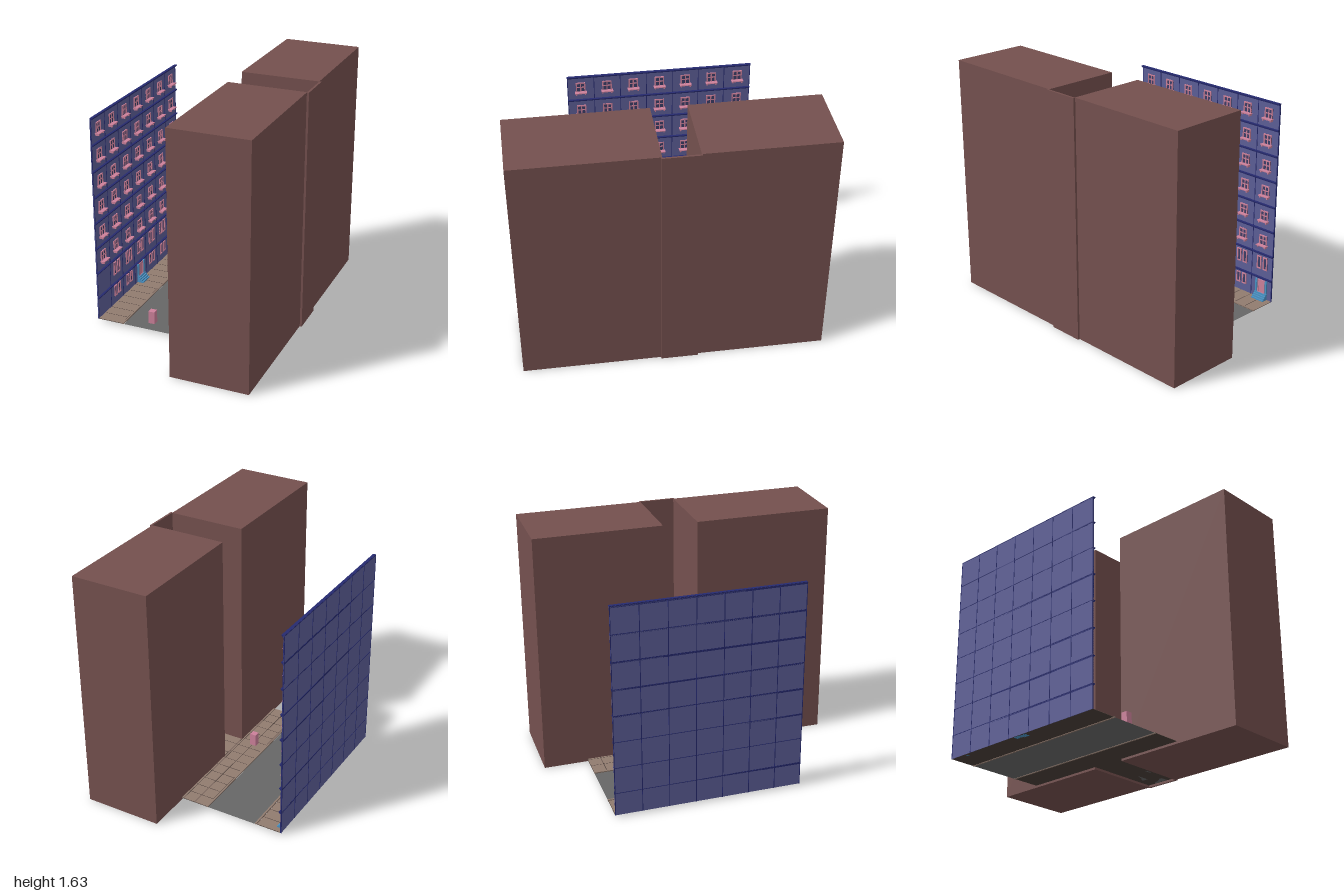
import * as THREE from 'three';

const mat = (color) => new THREE.MeshStandardMaterial({ color, side: THREE.DoubleSide });
const BRICK = mat(0x74504e), WALL = mat(0x5c5e96), TRIM = mat(0x262a70), PINK = mat(0xcc809a),
  BLUE = mat(0x4a92c4), ROAD = mat(0x666666), TILE = mat(0x917b6f), GAP = mat(0x4a3e38), GLASS = mat(0x3a3d66);

// Box given by its minimum and maximum corners
function box(parent, name, m, x0, x1, y0, y1, z0, z1) {
  const mesh = new THREE.Mesh(new THREE.BoxGeometry(x1 - x0, y1 - y0, z1 - z0), m);
  mesh.position.set((x0 + x1) / 2, (y0 + y1) / 2, (z0 + z1) / 2);
  mesh.name = name;
  parent.add(mesh);
  return mesh;
}

function group(parent, name) {
  const g = new THREE.Group();
  g.name = name;
  parent.add(g);
  return g;
}

// Flat horizontal sheet
function sheet(parent, name, m, x0, x1, z0, z1, y) {
  const mesh = new THREE.Mesh(new THREE.PlaneGeometry(x1 - x0, z1 - z0), m);
  mesh.rotation.x = -Math.PI / 2;
  mesh.position.set((x0 + x1) / 2, y, (z0 + z1) / 2);
  mesh.name = name;
  parent.add(mesh);
}

// Paving: dark joint sheet with slabs between the listed grid lines
function paving(parent, name, xs, zs, y) {
  const g = group(parent, name), d = 0.002;
  sheet(g, 'joints', GAP, xs[0], xs.at(-1), zs[0], zs.at(-1), y);
  for (let i = 0; i < xs.length - 1; i++)
    for (let j = 0; j < zs.length - 1; j++)
      sheet(g, 'slab', TILE, xs[i] + d, xs[i + 1] - d, zs[j] + d, zs[j + 1] - d, y + 0.003);
}

const Z0 = -0.705, Z1 = 0.545, COLS = 7, BAY = (Z1 - Z0) / COLS, FLOOR = 0.18, WX = -0.637;

// Frame of four bars with a pane, on the wall plane
function framed(parent, name, zc, y, w, h) {
  const g = group(parent, name), t = 0.008, x0 = WX, x1 = WX + 0.008;
  box(g, 'pane', GLASS, x0, x0 + 0.003, y, y + h, zc - w / 2, zc + w / 2);
  for (const s of [-1, 1]) {
    const z = zc + s * (w - t) / 2;
    box(g, 'jamb', PINK, x0, x1, y, y + h, z - t / 2, z + t / 2);
  }
  box(g, 'head', PINK, x0, x1, y + h - t, y + h, zc - w / 2, zc + w / 2);
  box(g, 'bottomRail', PINK, x0, x1, y, y + t, zc - w / 2, zc + w / 2);
  return g;
}

// Upper window with crossbar, lintel and projecting bracketed sill
function sillWindow(parent, zc, y) {
  const g = framed(parent, 'window', zc, y, 0.064, 0.086);
  box(g, 'mullion', PINK, WX, WX + 0.006, y, y + 0.086, zc - 0.004, zc + 0.004);
  box(g, 'crossbar', PINK, WX, WX + 0.006, y + 0.046, y + 0.053, zc - 0.03, zc + 0.03);
  box(g, 'sill', PINK, WX, -0.605, y + 0.012, y + 0.018, zc - 0.04, zc + 0.04);
  for (const s of [-1, 1])
    box(g, 'bracket', PINK, WX, -0.61, y, y + 0.012, zc + s * 0.03 - 0.004, zc + s * 0.03 + 0.004);
}

// Entrance: door, surround and steps with side walls
function entrance(parent, zc) {
  const g = group(parent, 'entrance');
  framed(g, 'door', zc, 0.055, 0.06, 0.1);
  box(g, 'doorLeaf', PINK, WX, WX + 0.005, 0.055, 0.145, zc - 0.022, zc + 0.022);
  for (const s of [-1, 1]) {
    const z = zc + s * 0.042;
    box(g, 'doorPost', BLUE, WX, WX + 0.01, 0.015, 0.155, z - 0.007, z + 0.007);
  }
  for (let i = 0; i < 4; i++)
    box(g, 'step', BLUE, WX, -0.622 + i * 0.01, 0.015, 0.06 - i * 0.011, zc - 0.05, zc + 0.05);
}

function facade(root) {
  const g = group(root, 'facade');
  const top = 1.435;
  box(g, 'wall', WALL, -0.642, WX, 0.015, top, Z0, Z1);
  // Stepped ledge profile swept along the wall at each floor
  const ledge = new THREE.Shape([[-0.642, 0], [-0.63, 0], [-0.628, 0.006], [-0.622, 0.008],
    [-0.622, 0.014], [-0.642, 0.014]].map(([x, y]) => new THREE.Vector2(x, y)));
  const ledgeGeo = new THREE.ExtrudeGeometry(ledge, { depth: Z1 - Z0, bevelEnabled: false });
  for (let f = 1; f <= 8; f++) {
    const m = new THREE.Mesh(ledgeGeo, TRIM);
    m.name = 'ledge';
    m.position.set(0, top - (8 - f) * FLOOR - 0.012, Z0);
    g.add(m);
  }
  // Seams between wall bays, showing on both faces
  for (let c = 0; c <= COLS; c++) {
    const z = Z0 + 0.0025 + c * (Z1 - Z0 - 0.005) / COLS;
    box(g, 'baySeam', TRIM, -0.6435, WX + 0.002, 0.015, top, z - 0.0025, z + 0.0025);
  }
  for (let f = 0; f < 8; f++)
    box(g, 'floorSeam', TRIM, -0.6435, -0.641, top - f * FLOOR - 0.004, top - f * FLOOR, Z0, Z1);
  for (let c = 0; c < COLS; c++) {
    const zc = Z0 + (c + 0.5) * BAY;
    for (let f = 0; f < 6; f++) sillWindow(g, zc, 0.402 + f * FLOOR);
    if (c < COLS - 1)
      for (const s of [-1, 1]) framed(g, 'narrowWindow', zc + s * 0.026, 0.235, 0.036, 0.095);
    if (c % 3 === 0 && c < 6) entrance(g, zc);
    else if (c < COLS - 1)
      for (const s of [-1, 1]) framed(g, 'narrowWindow', zc + s * 0.026, 0.075, 0.036, 0.08);
  }
}

export function createModel() {
  const root = new THREE.Group();
  root.name = 'streetScene';

  // Two tall blocks and the wall closing the alley between them
  box(root, 'rearBlock', BRICK, 0.1, 0.625, 0, 1.63, -1, -0.15);
  box(root, 'frontBlock', BRICK, 0.1, 0.625, 0, 1.63, 0.083, 1);
  box(root, 'alleyEndWall', BRICK, 0.626, 0.64, 0, 1.63, -0.155, 0.09);

  // Street, kerbs and pavements
  const rows = Array.from({ length: 2 * COLS + 1 }, (_, i) => Z0 + i * BAY / 2);
  paving(root, 'leftPavement', [-0.64, -0.465], rows, 0.015);
  paving(root, 'rightPavement', [-0.09, 0, 0.085, 0.1], rows, 0.015);
  paving(root, 'alleyPaving', [0.1, 0.265, 0.445, 0.625], [-0.15, -0.105, 0.01, 0.083], 0.015);
  sheet(root, 'road', ROAD, -0.45, -0.105, Z0, Z1, 0.015);
  for (const x of [-0.4575, -0.0975]) {
    box(root, 'kerb', TILE, x - 0.0055, x + 0.0055, 0.013, 0.022, Z0, Z1);
    sheet(root, 'kerbJoint', GAP, x - 0.0075, x + 0.0075, Z0, Z1, 0.016);
  }

  // U-shaped counter and back shelf in the alley
  const stall = group(root, 'alleyCounter');
  box(stall, 'counterFront', ROAD, 0.385, 0.43, 0.015, 0.06, -0.11, 0.043);
  box(stall, 'counterSide', ROAD, 0.43, 0.52, 0.015, 0.06, -0.11, -0.07);
  box(stall, 'counterSide', ROAD, 0.43, 0.52, 0.015, 0.06, 0.003, 0.043);
  box(stall, 'backShelf', ROAD, 0.567, 0.622, 0.015, 0.06, -0.085, 0.015);
  box(stall, 'ledge', PINK, 0.43, 0.448, 0.015, 0.025, -0.068, 0.001);

  // Standing figure blocks
  for (const [x, y, z] of [[-0.272, 0.03, 0.47], [-0.01, 0.024, 0.066]])
    box(root, 'figureBlock', PINK, x - 0.022, x + 0.022, y, y + 0.087, z - 0.021, z + 0.021);

  facade(root);
  return root;
}
